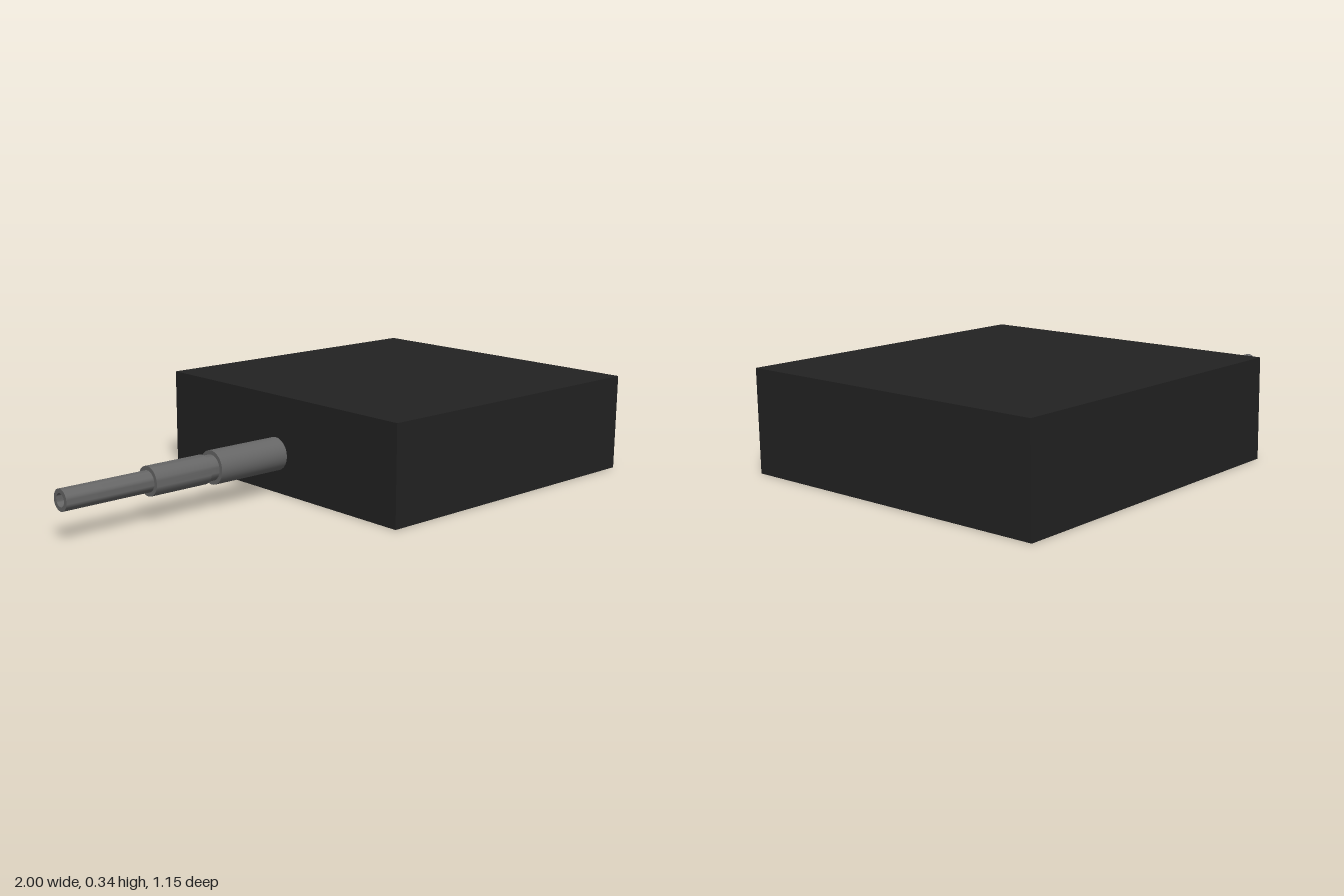
import * as THREE from 'three';
import { toCreasedNormals } from 'three/addons/utils/BufferGeometryUtils.js';

export function createModel() {
  const model = new THREE.Group();
  const black = new THREE.MeshStandardMaterial({ color: 0x222222 });
  black.name = 'black housing';
  const grey = new THREE.MeshStandardMaterial({ color: 0x666666 });
  grey.name = 'grey sleeve';

  // Plain square housing
  const housing = new THREE.Mesh(new THREE.BoxGeometry(1.147, 0.344, 1.147), black);
  housing.name = 'housing';
  housing.position.set(0.4265, 0.172, 0);
  model.add(housing);

  // Stepped cable sleeve: [radius, x], from the bore floor out over the rim to the housing
  const profile = [
    [0, -0.85], [0.022, -0.85], [0.022, -1], [0.036, -1],
    [0.036, -0.68], [0.05, -0.68], [0.05, -0.462], [0.044, -0.462],
    [0.044, -0.426], [0.058, -0.426], [0.058, -0.14],
  ].map(([r, x]) => new THREE.Vector2(r, x));
  const sleeve = new THREE.Mesh(
    toCreasedNormals(new THREE.LatheGeometry(profile, 32), Math.PI / 5), grey);
  sleeve.name = 'cableSleeve';
  sleeve.rotation.z = -Math.PI / 2;
  sleeve.position.set(0, 0.138, -0.004);
  model.add(sleeve);

  // Dark cable core recessed inside the bore
  const core = new THREE.Mesh(new THREE.CylinderGeometry(0.0215, 0.0215, 0.1, 24), black);
  core.name = 'cableCore';
  core.rotation.z = -Math.PI / 2;
  core.position.set(-0.92, 0.138, -0.004);
  model.add(core);

  return model;
}
